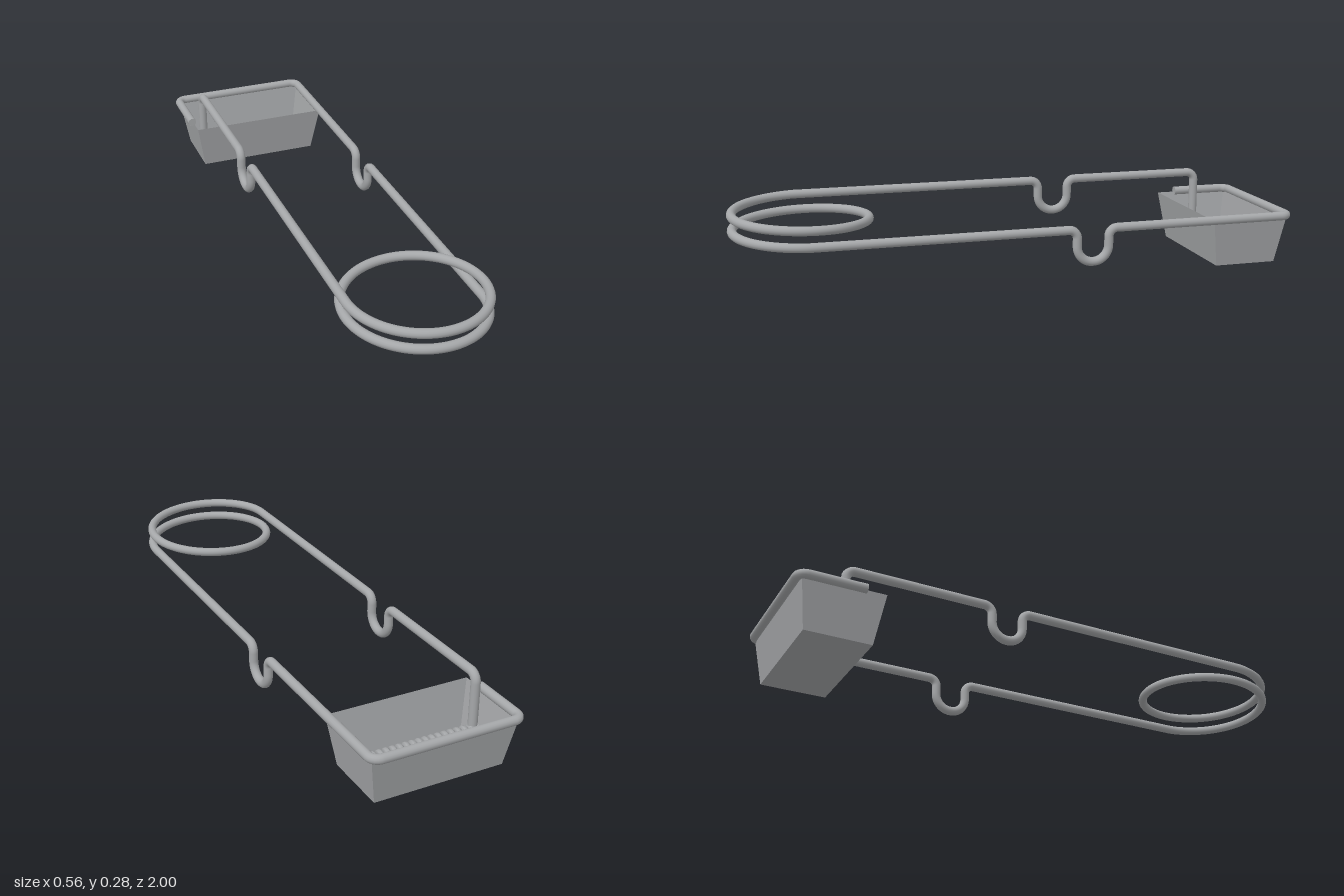
import * as THREE from 'three';

const R = 0.016;                       // wire radius
const XL = -0.205, XR = 0.261;         // the two arms
const YL = 0.262, YR = 0.177;          // arm heights
const COIL_Z = 0.7515;
const TRAY_Z = -0.832;
const v = (x, y, z) => new THREE.Vector3(x, y, z);

// Helix about an axis through c; map turns (cos, sin, along) into a point
class Helix extends THREE.Curve {
  constructor(map, turns, length) {
    super();
    Object.assign(this, { map, turns, length });
  }
  getPoint(t, target = new THREE.Vector3()) {
    const a = t * this.turns * Math.PI * 2;
    return target.copy(this.map(Math.cos(a), Math.sin(a), t * this.length));
  }
}

// Straight runs with rounded corners; each point is [vector, corner radius]
function addRounded(path, pts) {
  let from = pts[0][0];
  for (let i = 1; i < pts.length; i++) {
    const [p, r = 0] = pts[i];
    if (i === pts.length - 1) {
      path.add(new THREE.LineCurve3(from, p));
      break;
    }
    const a = p.clone().add(pts[i - 1][0].clone().sub(p).setLength(r));
    const b = p.clone().add(pts[i + 1][0].clone().sub(p).setLength(r));
    if (from.distanceTo(a) > 1e-4) path.add(new THREE.LineCurve3(from, a));
    // cubic approximation of a quarter circle
    path.add(new THREE.CubicBezierCurve3(a, a.clone().lerp(p, 0.552), b.clone().lerp(p, 0.552), b));
    from = b;
  }
}

// U-shaped notch in an arm, listed from front to back
const notch = (x, y) => [
  [v(x, y, -0.171), 0.03],
  [v(x, y - 0.117, -0.171), 0.057],
  [v(x, y - 0.117, -0.287), 0.057],
  [v(x, y, -0.287), 0.03],
];

function createWire(material) {
  const path = new THREE.CurvePath();
  path.arcLengthDivisions = 3000;

  // left arm, rising out of the tray and running forward
  addRounded(path, [
    [v(XL, 0.045, -0.815)],
    [v(XL, YL, -0.815), 0.03],
    ...notch(XL, YL).reverse(),
    [v(XL, YL, COIL_Z)],
  ]);

  // one and a half turns of coil
  const cx = (XL + XR) / 2, cr = (XR - XL) / 2;
  path.add(new Helix((c, s, d) => v(cx - cr * c, YL - d, COIL_Z + cr * s), 1.5, YL - YR));

  // right arm, then around the back of the tray
  const end = v(-0.265, YR, -0.76);
  addRounded(path, [
    [v(XR, YR, COIL_Z)],
    ...notch(XR, YR),
    [v(XR, YR, -0.984), 0.03],
    [v(-0.265, YR, -0.984), 0.03],
    [end],
  ]);

  const group = new THREE.Group();
  group.name = 'wireFrame';
  const wire = new THREE.Mesh(new THREE.TubeGeometry(path, 900, R, 14), material);
  wire.name = 'bentWire';
  const cap = new THREE.Mesh(new THREE.CircleGeometry(R, 14), material);
  cap.name = 'wireEnd';
  cap.position.copy(end);
  group.add(wire, cap);
  return group;
}

// Tapered open tray with thin walls
function createTray(material) {
  const ring = (x, y, z) => [[-x, y, z], [x, y, z], [x, y, -z], [-x, y, -z]].flat();
  const geo = new THREE.BufferGeometry();
  geo.setAttribute('position', new THREE.Float32BufferAttribute(
    [...ring(0.231, 0, 0.115), ...ring(0.261, 0.174, 0.1425)], 3));
  const index = [0, 2, 1, 0, 3, 2];
  for (let i = 0; i < 4; i++) {
    const j = (i + 1) % 4;
    index.push(i, j, j + 4, i, j + 4, i + 4);
  }
  geo.setIndex(index);
  const flat = geo.toNonIndexed();
  flat.computeVertexNormals();
  const tray = new THREE.Mesh(flat, material);
  tray.name = 'tray';
  tray.position.z = TRAY_Z;
  return tray;
}

// Tight spring lying across the tray
function createSpring(material) {
  const r = 0.027;
  const curve = new Helix((c, s, d) => v(-0.225 + d, 0.045 + r * s, -0.82 + r * c), 19, 0.45);
  const spring = new THREE.Mesh(new THREE.TubeGeometry(curve, 19 * 24, 0.011, 8), material);
  spring.name = 'spring';
  return spring;
}

export function createModel() {
  const steel = new THREE.MeshStandardMaterial({ color: 0xa5a7a9 });
  steel.name = 'steel';
  steel.side = THREE.DoubleSide;

  const model = new THREE.Group();
  model.name = 'wireHolder';
  model.add(createWire(steel), createTray(steel), createSpring(steel));
  return model;
}
